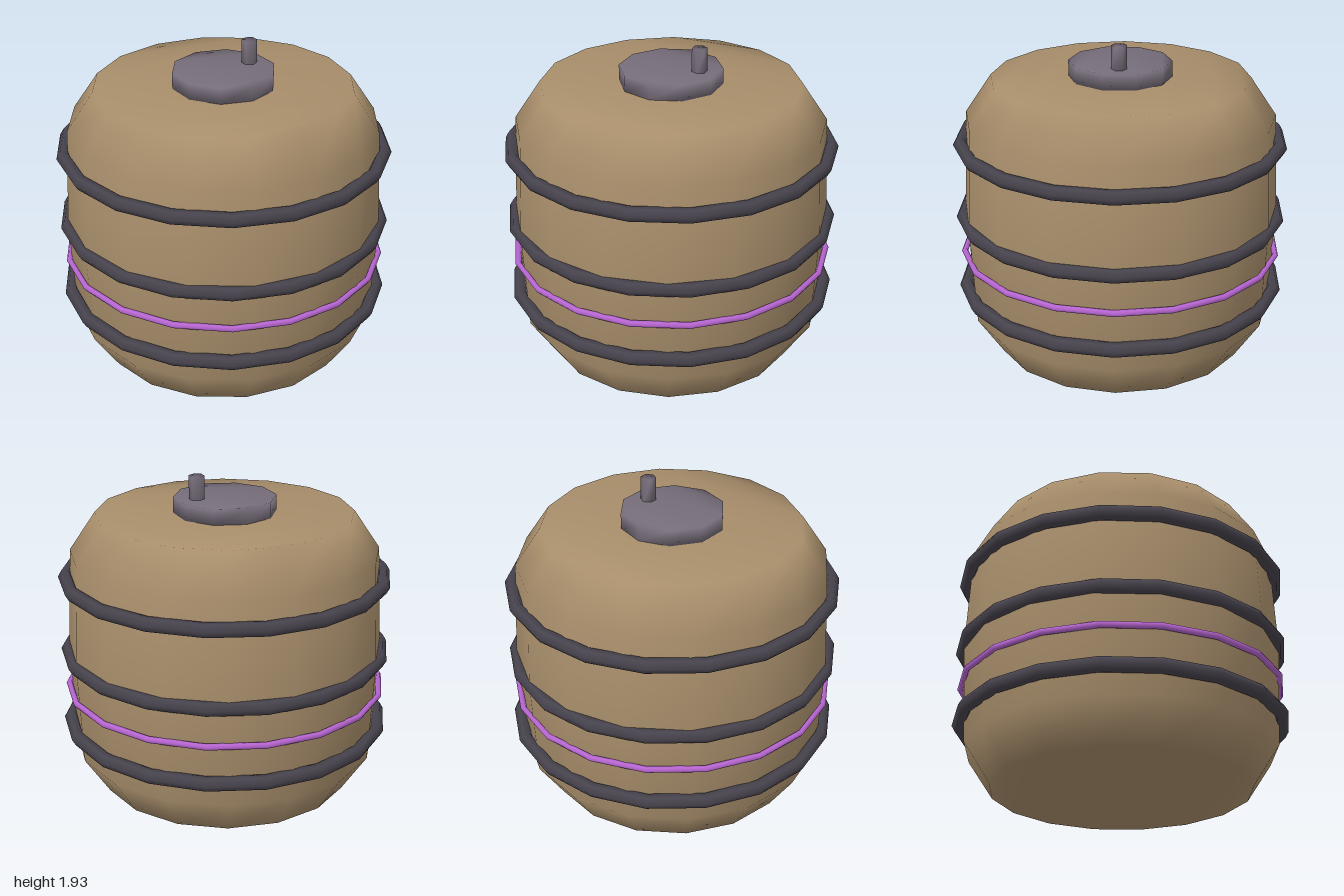
import * as THREE from 'three';

// Closed, fully smooth solid from [radius, height] rings, bottom to top
function ringSolid(profile, sides) {
  const pos = [], index = [];
  for (const [r, y] of profile) {
    for (let i = 0; i < sides; i++) {
      const a = (i / sides) * Math.PI * 2;
      pos.push(Math.sin(a) * r, y, Math.cos(a) * r);
    }
  }
  // side walls
  for (let j = 0; j < profile.length - 1; j++) {
    for (let i = 0; i < sides; i++) {
      const a = j * sides + i, b = j * sides + ((i + 1) % sides);
      index.push(a, b, b + sides, a, b + sides, a + sides);
    }
  }
  // caps, filled in strips that share the rim vertices
  const top = (profile.length - 1) * sides;
  const cap = (a, b, c) => {
    index.push(top + a, top + b, top + c);
    index.push(a, c, b);
  };
  let lo = 0, hi = sides - 1, takeLow = true;
  while (hi - lo > 1) {
    cap(lo, takeLow ? lo + 1 : hi - 1, hi);
    if (takeLow) lo++; else hi--;
    takeLow = !takeLow;
  }
  const geo = new THREE.BufferGeometry();
  geo.setAttribute('position', new THREE.Float32BufferAttribute(pos, 3));
  geo.setIndex(index);
  geo.computeVertexNormals();
  return geo;
}

function material(name, color) {
  const m = new THREE.MeshStandardMaterial({ color });
  m.name = name;
  return m;
}

export function createModel() {
  const wood = material('tan wood', 0xa88e6b);
  const iron = material('dark iron', 0x47434d);
  const metal = material('grey metal', 0x766d7a);
  const violet = material('violet', 0xb866d2);

  const group = new THREE.Group();
  group.name = 'barrel';
  const add = (name, geo, mat, x = 0, y = 0) => {
    const mesh = new THREE.Mesh(geo, mat);
    mesh.name = name;
    mesh.position.set(x, y, 0);
    group.add(mesh);
  };

  // Bulging barrel body
  add('body', ringSolid([[0.77, 0], [0.925, 0.235], [0.955, 0.85], [0.925, 1.465], [0.77, 1.695]], 16), wood);

  // Three iron hoops and one thin coloured band
  const hoop = (radius, tube) => new THREE.TorusGeometry(radius, tube, 6, 18).rotateX(Math.PI / 2);
  const hoopGeo = hoop(0.957, 0.043);
  [['lowerHoop', 0.39], ['middleHoop', 0.85], ['upperHoop', 1.31]].forEach(([name, y]) => add(name, hoopGeo, iron, 0, y));
  add('thinBand', hoop(0.96, 0.019), violet, 0, 0.62);

  // Lid with an upright peg
  add('lid', ringSolid([[0.307, 1.69], [0.307, 1.79]], 10), metal);
  add('peg', ringSolid([[0.046, 1.78], [0.046, 1.93]], 6), metal, 0.18);

  return group;
}
